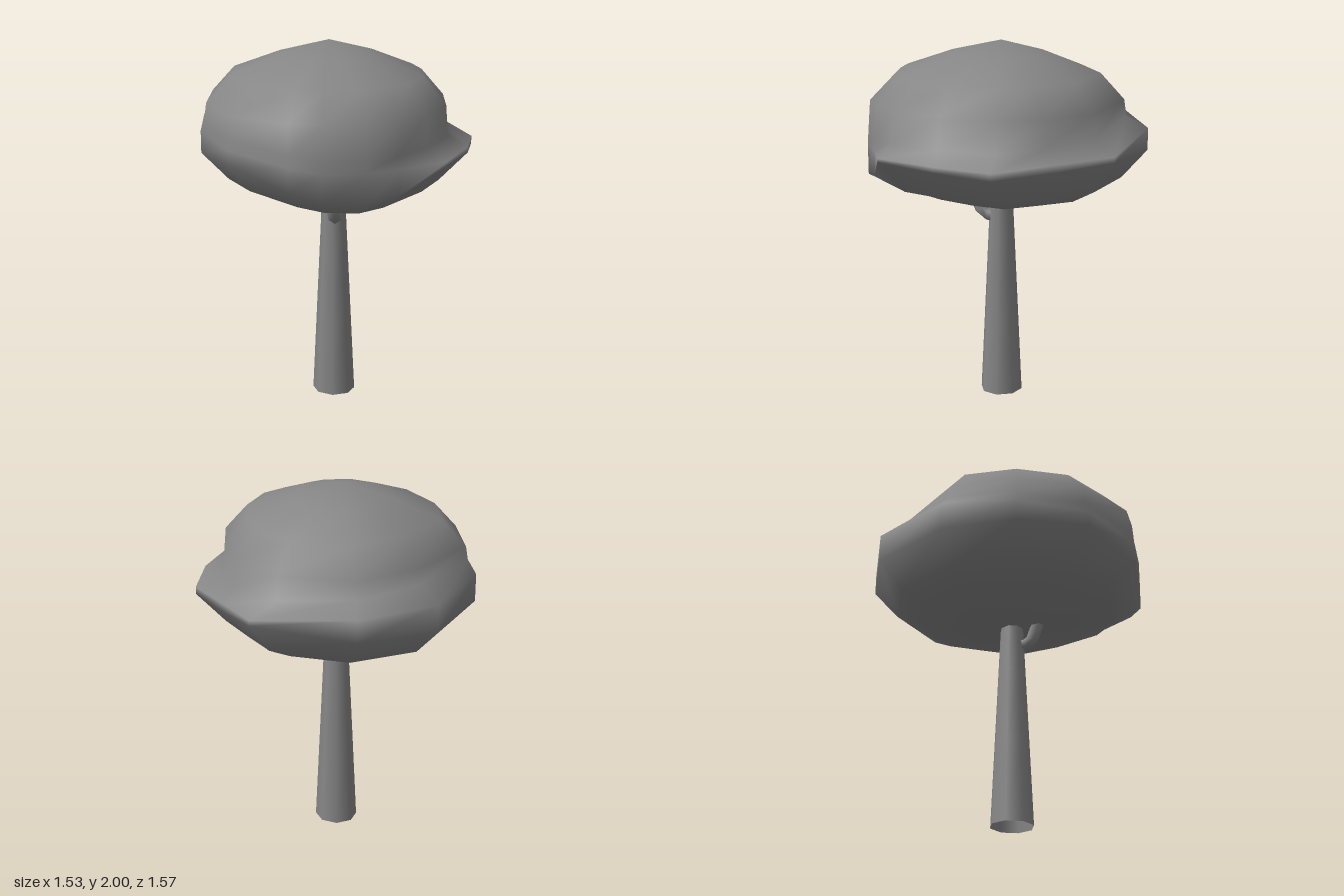
import * as THREE from 'three';
import { mergeVertices } from 'three/addons/utils/BufferGeometryUtils.js';

const material = new THREE.MeshStandardMaterial({ color: 0x868686, side: THREE.DoubleSide });

function addMesh(group, name, geometry) {
  const mesh = new THREE.Mesh(geometry, material);
  mesh.name = name;
  group.add(mesh);
}

// Smooth closed skin over rings of [x, y, z] points, listed bottom to top.
// The first and last ring are collapsed to a single point.
function skin(rings) {
  const n = rings[0].length;
  const last = rings.length - 2;
  const index = [];
  for (let i = 0; i <= last; i++) {
    for (let j = 0; j < n; j++) {
      const a = i * n + j, b = i * n + (j + 1) % n;
      if (i > 0) index.push(a, a + n, b);
      if (i < last) index.push(b, a + n, b + n);
    }
  }
  const geometry = new THREE.BufferGeometry();
  geometry.setAttribute('position', new THREE.Float32BufferAttribute(rings.flat(2), 3));
  geometry.setIndex(index);
  const merged = mergeVertices(geometry, 1e-4);
  merged.computeVertexNormals();
  return merged;
}

// Foliage spokes: rim x, rim z, rim underside y, rim top y, dome x, dome z
const spokes = [
  [0.76, -0.18, 1.47, 1.50, 0.59, -0.19],
  [0.67, 0.13, 1.44, 1.48, 0.58, 0.13],
  [0.58, 0.44, 1.42, 1.46, 0.48, 0.33],
  [0.35, 0.63, 1.44, 1.47, 0.27, 0.56],
  [0.04, 0.78, 1.45, 1.47, 0.00, 0.68],
  [-0.20, 0.68, 1.31, 1.45, -0.20, 0.67],
  [-0.37, 0.63, 1.28, 1.45, -0.36, 0.63],
  [-0.55, 0.50, 1.30, 1.45, -0.54, 0.49],
  [-0.67, 0.39, 1.36, 1.48, -0.66, 0.37],
  [-0.77, 0.03, 1.44, 1.52, -0.76, 0.02],
  [-0.66, -0.35, 1.42, 1.54, -0.65, -0.33],
  [-0.42, -0.65, 1.40, 1.55, -0.41, -0.60],
  [0.05, -0.79, 1.40, 1.55, 0.02, -0.64],
  [0.46, -0.63, 1.42, 1.54, 0.37, -0.55],
];

// Underside ring: pulled in towards the lowest point, with height following the rim
const under = (scale, rise) => spokes.map(([x, z, low]) => [
  0.03 + (x - 0.03) * scale, 1.125 + (low - 1.125) * rise, -0.1 + (z + 0.1) * scale,
]);

// Dome ring: pulled in towards the peak
const dome = (y, scale) => spokes.map(([, , , , x, z]) => [
  -0.05 + (x + 0.05) * scale, y, -0.02 + (z + 0.02) * scale,
]);

export function createModel() {
  const tree = new THREE.Group();
  tree.name = 'tree';

  // Trunk: open, slightly oval tapering tube
  const trunk = new THREE.CylinderGeometry(0.055, 0.115, 1.3, 8, 3, true);
  trunk.scale(1, 1, 1.04);
  trunk.translate(-0.028, 0.65, -0.008);
  addMesh(tree, 'trunk', trunk);

  // Short side branch reaching up into the leaves
  const branchPath = new THREE.CatmullRomCurve3([
    new THREE.Vector3(-0.04, 1.03, 0.02),
    new THREE.Vector3(-0.09, 1.05, 0.07),
    new THREE.Vector3(-0.13, 1.15, 0.095),
    new THREE.Vector3(-0.16, 1.25, 0.11),
  ]);
  addMesh(tree, 'branch', new THREE.TubeGeometry(branchPath, 6, 0.037, 6, false));

  // Foliage: one lumpy crown with an uneven rim that juts out at the back, left and front
  addMesh(tree, 'foliage', skin([
    under(0, 0), under(0.3, 0.08), under(0.58, 0.22), under(0.8, 0.47), under(1, 1),
    spokes.map(([x, z, , high]) => [x, high, z]),
    spokes.map(([, , , high, x, z]) => [x, high + 0.06, z]),
    dome(1.69, 0.98), dome(1.83, 0.79), dome(1.93, 0.4), dome(2, 0),
  ]));

  return tree;
}
